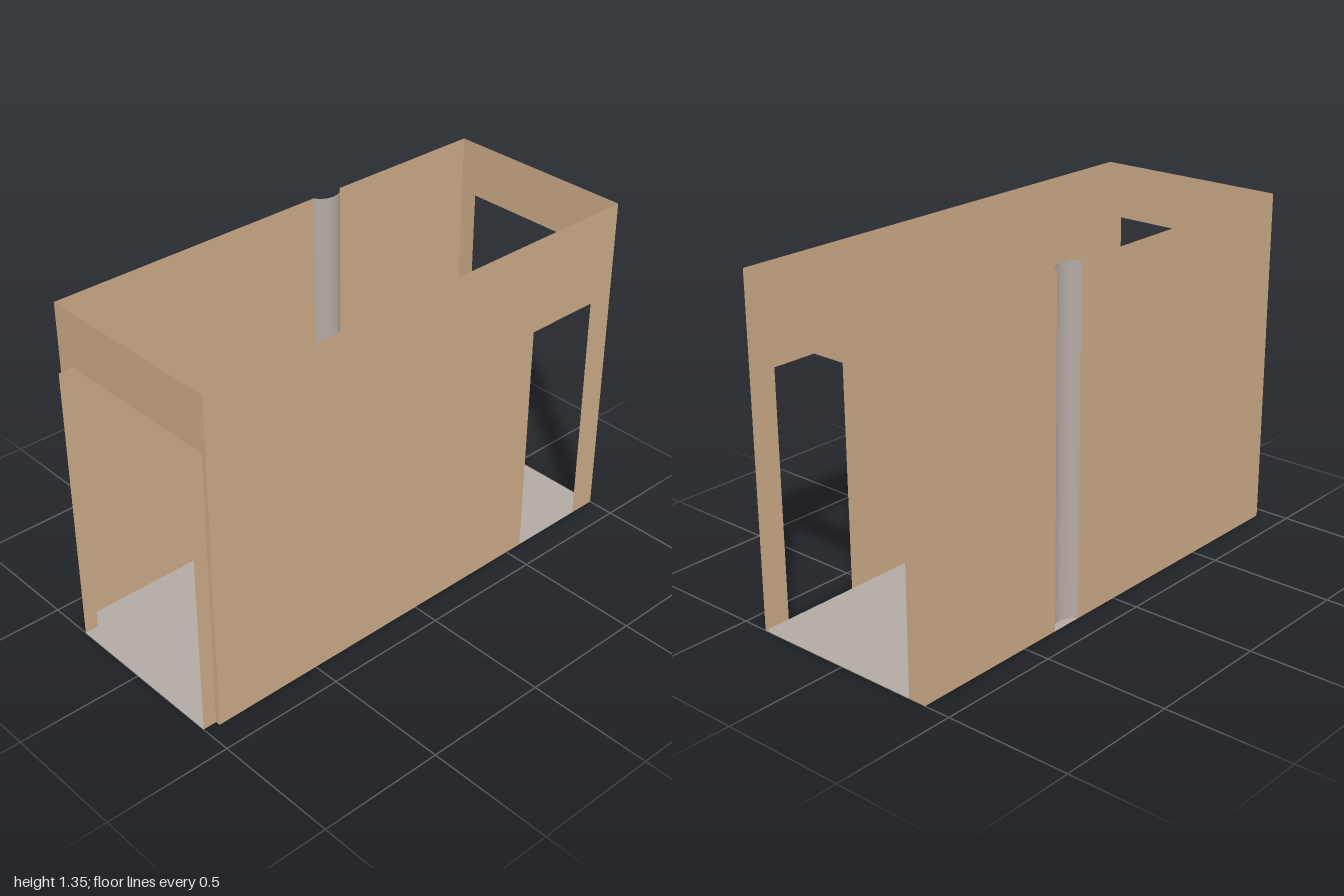
import * as THREE from 'three';

export function createModel() {
  const group = new THREE.Group();
  const tan = new THREE.MeshStandardMaterial({ name: 'tanWall', color: 0xcaa986, side: THREE.DoubleSide });
  const grey = new THREE.MeshStandardMaterial({ name: 'warmGrey', color: 0xb2aaa4, side: THREE.DoubleSide });

  const H = 1.345, OPEN_H = 1.123;          // wall height, end opening height
  const X0 = -0.945, X1 = 1, XA = -1;       // room ends and alcove end
  const Z = 0.393, ZF = 0.374, ZB = -0.32;  // half depth, opening sides
  const COL_X = 0.27, COL_W = 0.064, COL_D = 0.038; // column centre, half width, depth

  // Thin flat sheet from an outline of [x, y] corners
  function sheet(name, outline, material) {
    const shape = new THREE.Shape(outline.map(([x, y]) => new THREE.Vector2(x, y)));
    const mesh = new THREE.Mesh(new THREE.ShapeGeometry(shape), material);
    mesh.name = name;
    group.add(mesh);
    return mesh;
  }
  const rect = (a, b, h) => [[a, 0], [b, 0], [b, h], [a, h]];

  // Floor, narrowed where it runs into the end alcove
  const floor = sheet('floor', [
    [X0, -Z], [X1, -Z], [X1, Z], [X0, Z], [X0, -ZB], [XA, -ZB], [XA, -ZF], [X0, -ZF],
  ], grey);
  floor.rotation.x = -Math.PI / 2;

  // Front wall with its doorway
  sheet('frontWall', [
    [X0, 0], [0.575, 0], [0.575, 0.967], [0.89, 0.967], [0.89, 0], [X1, 0], [X1, H], [X0, H],
  ], tan).position.z = Z;

  // Back wall in two pieces either side of the column
  const back = [['backWallRight', X0, COL_X - COL_W], ['backWallLeft', COL_X + COL_W, X1]];
  for (const [name, a, b] of back) {
    const wall = sheet(name, rect(-b, -a, H), tan);
    wall.rotation.y = Math.PI;
    wall.position.z = -Z;
  }

  // End walls, each with a tall wide opening
  for (const [name, x] of [['leftEndWall', X1], ['rightEndWall', X0]]) {
    const wall = sheet(name, [
      [-Z, 0], [ZB, 0], [ZB, OPEN_H], [ZF, OPEN_H], [ZF, 0], [Z, 0], [Z, H], [-Z, H],
    ], tan);
    wall.rotation.y = -Math.PI / 2;
    wall.position.x = x;
  }

  // Short jambs at the sides of the alcove
  sheet('frontJamb', rect(XA, X0, OPEN_H), tan).position.z = ZF;
  sheet('backJamb', rect(XA, X0, OPEN_H), tan).position.z = ZB;

  // Column: curved sheet bulging into the room
  const r = (COL_W ** 2 + COL_D ** 2) / (2 * COL_D);
  const half = Math.asin(COL_W / r);
  const column = new THREE.Mesh(
    new THREE.CylinderGeometry(r, r, H, 24, 1, true, -half, 2 * half), grey);
  column.name = 'column';
  column.position.set(COL_X, H / 2, -Z + COL_D - r);
  group.add(column);

  return group;
}
